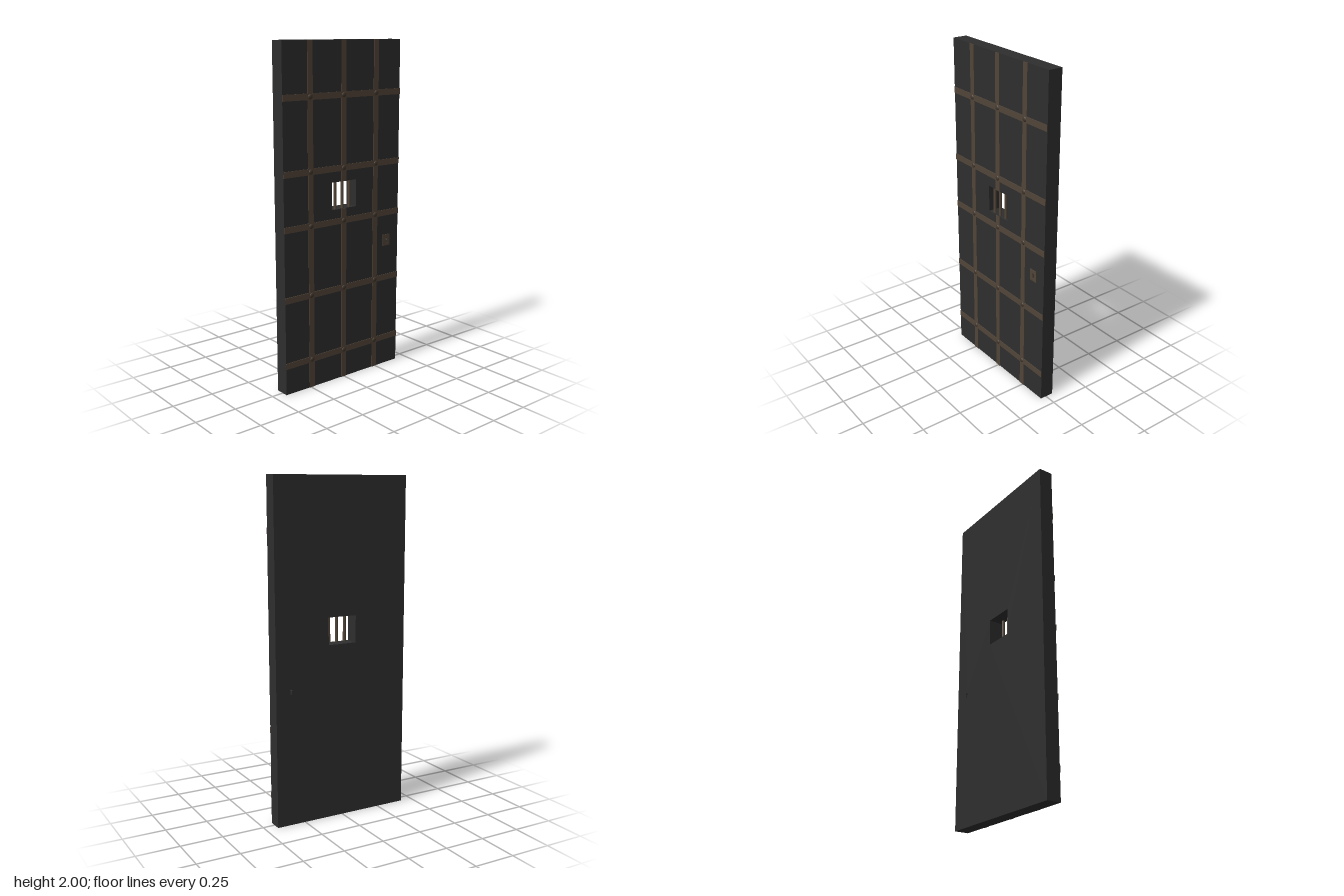
import * as THREE from 'three';

const HALF_W = 0.427, HEIGHT = 2, BACK = -0.048, FRONT = 0.038;
const WIN = { left: -0.09, right: 0.09, bottom: 1.043, top: 1.203 };
const STRAP_W = 0.036, STRAP_T = 0.004;
const COLUMNS = [-0.242, -0.003, 0.24];
const ROWS = [0.174, 0.565, 0.972, 1.282, 1.697];
const LOCK = { x: 0.333, y: 0.8 };

function material(name, color) {
  const m = new THREE.MeshStandardMaterial({ color });
  m.name = name;
  return m;
}

// Rectangle outline from two corners
function rect(path, x0, y0, x1, y1) {
  path.moveTo(x0, y0);
  path.lineTo(x1, y0);
  path.lineTo(x1, y1);
  path.lineTo(x0, y1);
  path.closePath();
  return path;
}

// Round hole with a flared slot below
function keyhole() {
  const p = new THREE.Path();
  const cy = LOCK.y + 0.006, r = 0.007;
  p.moveTo(LOCK.x - 0.005, LOCK.y - 0.017);
  p.lineTo(LOCK.x + 0.005, LOCK.y - 0.017);
  p.absarc(LOCK.x, cy, r, -Math.PI / 3, Math.PI * 4 / 3, false);
  p.closePath();
  return p;
}

export function createModel() {
  const door = new THREE.Group();
  door.name = 'door';
  const panelMat = material('dark panel', 0x2e2e2e);
  const strapMat = material('brown iron', 0x524538);
  const studMat = material('dark iron', 0x42372d);

  function add(name, geometry, mat, x = 0, y = 0, z = 0) {
    const mesh = new THREE.Mesh(geometry, mat);
    mesh.name = name;
    mesh.position.set(x, y, z);
    door.add(mesh);
    return mesh;
  }

  // Slab with the window and keyhole cut through
  const slab = rect(new THREE.Shape(), -HALF_W, 0, HALF_W, HEIGHT);
  slab.holes.push(rect(new THREE.Path(), WIN.left, WIN.bottom, WIN.right, WIN.top), keyhole());
  add('slab', new THREE.ExtrudeGeometry(slab, { depth: FRONT - BACK, bevelEnabled: false, curveSegments: 8 }),
    panelMat, 0, 0, BACK);

  // Horizontal straps
  for (const y of ROWS) {
    add('horizontalStrap', new THREE.BoxGeometry(HALF_W * 2, STRAP_W, STRAP_T), strapMat, 0, y, FRONT + STRAP_T / 2);
  }

  // Vertical straps; the middle one is interrupted by the window
  const verticalStrap = (x, y0, y1) => add('verticalStrap',
    new THREE.BoxGeometry(STRAP_W, y1 - y0, STRAP_T - 0.0006), strapMat,
    x, (y0 + y1) / 2, FRONT + STRAP_T / 2 - 0.0003);
  verticalStrap(COLUMNS[0], 0, HEIGHT);
  verticalStrap(COLUMNS[1], 0, WIN.bottom);
  verticalStrap(COLUMNS[1], WIN.top, HEIGHT);
  verticalStrap(COLUMNS[2], 0, HEIGHT);

  // Domed studs on every crossing
  const stud = new THREE.SphereGeometry(0.015, 12, 5, 0, Math.PI * 2, 0, Math.PI / 2);
  stud.rotateX(Math.PI / 2);
  stud.scale(1, 1, 0.45);
  for (const x of COLUMNS) {
    for (const y of ROWS) add('stud', stud, studMat, x, y, FRONT + STRAP_T - 0.0005);
  }

  // Window bars
  const bar = new THREE.CylinderGeometry(0.009, 0.009, WIN.top - WIN.bottom, 12, 1, true);
  for (const x of [-0.054, -0.001, 0.051]) {
    add('windowBar', bar, strapMat, x, (WIN.top + WIN.bottom) / 2, 0.022);
  }

  // Lock plate with matching keyhole
  const plate = rect(new THREE.Shape(), LOCK.x - 0.027, LOCK.y - 0.035, LOCK.x + 0.027, LOCK.y + 0.035);
  plate.holes.push(keyhole());
  add('lockPlate', new THREE.ExtrudeGeometry(plate, { depth: 0.003, bevelEnabled: false, curveSegments: 8 }),
    strapMat, 0, 0, FRONT);

  return door;
}
